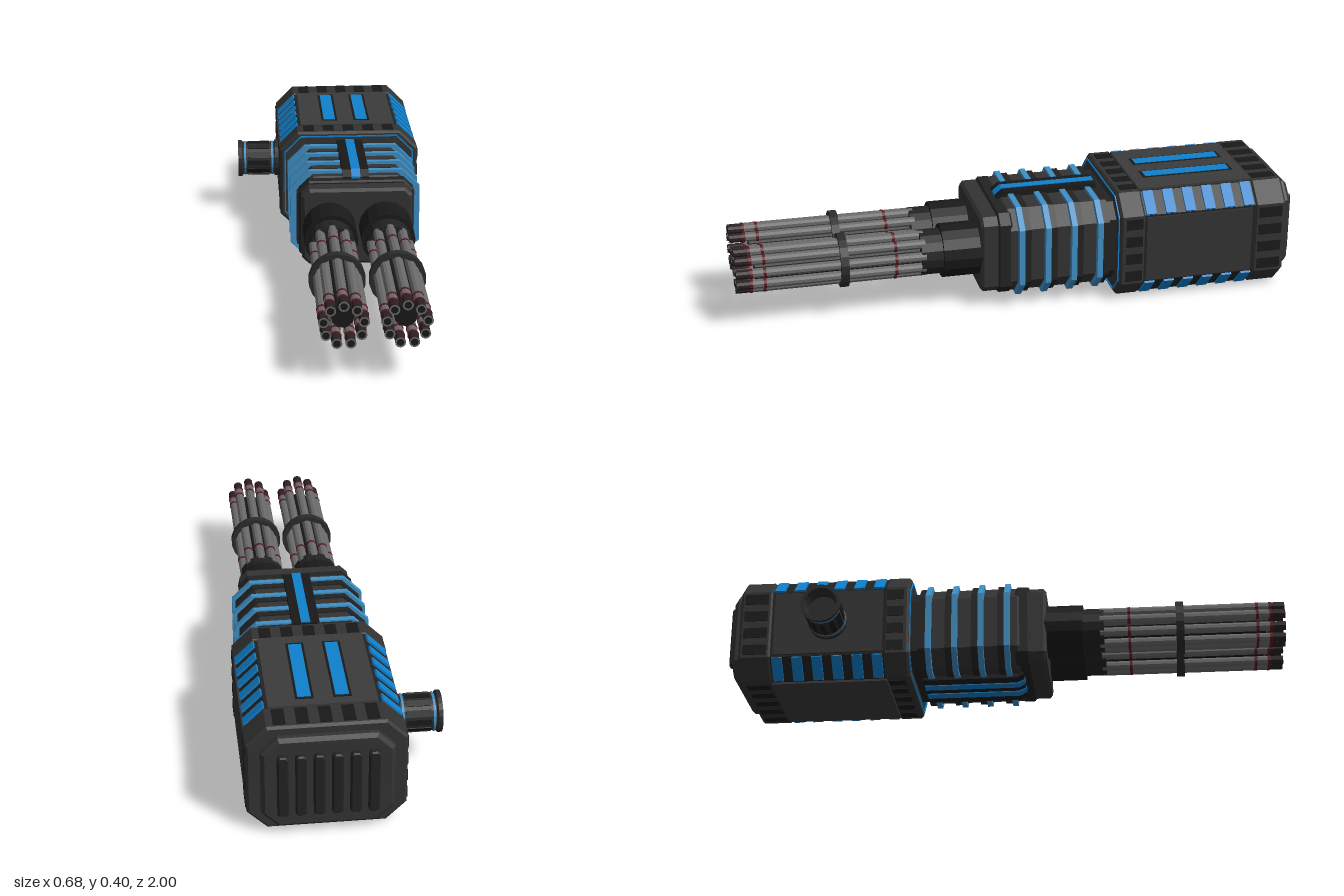
import * as THREE from 'three';

const CX = 0.078, CY = 0.2; // axis of the body

const mat = (color, side = THREE.FrontSide) => new THREE.MeshStandardMaterial({ color, side, flatShading: true });
const M = {
  body: mat(0x333333), panel: mat(0x3b3b3b), dark: mat(0x222222), black: mat(0x191919),
  blue: mat(0x1080cc), rib: mat(0x3f8fc4), steel: mat(0x6a6a6a), red: mat(0x5a1820),
  tip: mat(0x2a2022), cup: mat(0x2b2b2b, THREE.DoubleSide),
};

function add(parent, name, geo, material, x = 0, y = 0, z = 0) {
  const m = new THREE.Mesh(geo, material);
  m.name = name;
  m.position.set(x, y, z);
  parent.add(m);
  return m;
}

// Rectangle with cut corners, half sizes w and h
function octagon(w, h, c, P = THREE.Shape) {
  const p = [[w, h - c], [w - c, h], [c - w, h], [-w, h - c], [-w, c - h], [c - w, -h], [w - c, -h], [w, c - h]];
  return new P(p.map(([x, y]) => new THREE.Vector2(x, y)));
}

// Cut-corner block from z0 to z1, with optional bevelled ends
function block(parent, name, material, z0, z1, w, h, c, bevel = 0) {
  const geo = new THREE.ExtrudeGeometry(octagon(w, h, c), {
    depth: z1 - z0 - 2 * bevel, bevelEnabled: bevel > 0, bevelSegments: 1,
    bevelSize: bevel, bevelThickness: bevel, bevelOffset: -bevel,
  });
  return add(parent, name, geo, material, CX, CY, z0 + bevel);
}

// Cut-corner hoop of width t
function hoop(parent, name, material, z0, z1, w, h, c, t) {
  const s = octagon(w, h, c);
  s.holes.push(octagon(w - t, h - t, c - t * 0.59, THREE.Path));
  return add(parent, name, new THREE.ExtrudeGeometry(s, { depth: z1 - z0, bevelEnabled: false }), material, CX, CY, z0);
}

// Box given by its limits
function box(parent, name, material, x0, x1, y0, y1, z0, z1) {
  return add(parent, name, new THREE.BoxGeometry(x1 - x0, y1 - y0, z1 - z0), material,
    (x0 + x1) / 2, (y0 + y1) / 2, (z0 + z1) / 2);
}

// Cylinder along z
function rod(parent, name, material, r, z0, z1, x, y, sides, r2 = r) {
  const g = new THREE.CylinderGeometry(r2, r, z1 - z0, sides).rotateX(Math.PI / 2);
  return add(parent, name, g, material, x, y, (z0 + z1) / 2);
}

// Turned part along z from [radius, z] points
function turned(parent, name, material, pts, sides, x, y) {
  const g = new THREE.LatheGeometry(pts.map(p => new THREE.Vector2(...p)), sides).rotateX(Math.PI / 2);
  return add(parent, name, g, material, x, y, 0);
}

function rearBody() {
  const g = new THREE.Group();
  g.name = 'rearBody';
  block(g, 'rearCore', M.dark, -0.9, -0.36, 0.253, 0.192, 0.065);
  block(g, 'frontFrame', M.body, -0.425, -0.335, 0.26, 0.196, 0.067, 0.008);
  block(g, 'rearFrame', M.body, -0.945, -0.83, 0.26, 0.196, 0.067, 0.008);
  block(g, 'endCap', M.body, -0.98, -0.94, 0.215, 0.17, 0.055, 0.012);
  hoop(g, 'frontLightRing', M.blue, -0.336, -0.331, 0.244, 0.182, 0.062, 0.005);

  // Raised panels on the four faces
  box(g, 'topPanel', M.panel, -0.1, 0.256, 0.38, 0.4, -0.835, -0.42);
  box(g, 'bottomPanel', M.panel, -0.1, 0.256, 0, 0.02, -0.835, -0.42);
  for (const s of [-1, 1]) {
    const x = CX + s * 0.25;
    box(g, 'sidePanel', M.body, x - 0.011, x + 0.011, 0.08, 0.32, -0.82, -0.43);
  }
  // Top light strips in dark trays
  for (const x of [0.012, 0.135]) {
    box(g, 'stripTray', M.black, x - 0.03, x + 0.03, 0.39, 0.401, -0.8, -0.465);
    box(g, 'topLightStrip', M.blue, x - 0.022, x + 0.022, 0.39, 0.403, -0.79, -0.475);
  }
  // Dark inset squares around both frames
  for (const [z0, z1] of [[-0.415, -0.355], [-0.93, -0.845]]) {
    for (let i = 0; i < 5; i++) {
      const x = CX + (i - 2) * 0.075;
      for (const y of [0.004, 0.396]) box(g, 'frameInset', M.black, x - 0.02, x + 0.02, y - 0.003, y + 0.003, z0, z1);
    }
    for (let i = 0; i < 4; i++) {
      const y = CY + (i - 1.5) * 0.066;
      for (const s of [-1, 1]) {
        const x = CX + s * 0.26;
        box(g, 'frameInset', M.black, x - 0.003, x + 0.003, y - 0.019, y + 0.019, z0, z1);
      }
    }
  }
  // Lights along the cut corners
  for (const sx of [-1, 1]) for (const sy of [-1, 1]) for (let i = 0; i < 6; i++) {
    const m = add(g, 'cornerLight', new THREE.BoxGeometry(0.09, 0.012, 0.037), M.blue,
      CX + sx * 0.2215, CY + sy * 0.1605, -0.447 - i * 0.072);
    m.rotation.z = Math.atan2(-sx, sy);
  }
  // Upright vent bars on the back
  for (let i = 0; i < 6; i++) {
    const x = CX + (i - 2.5) * 0.0585;
    const s = octagon(0.018, 0.115, 0.008);
    add(g, 'ventBar', new THREE.ExtrudeGeometry(s, {
      depth: 0.02, bevelSize: 0.005, bevelThickness: 0.005, bevelOffset: -0.005, bevelSegments: 1,
    }), M.dark, x, CY, -0.995);
  }
  return g;
}

function midBody() {
  const g = new THREE.Group();
  g.name = 'midBody';
  block(g, 'neck', M.dark, -0.345, -0.29, 0.2, 0.148, 0.05);
  block(g, 'midCore', M.body, -0.305, 0.06, 0.212, 0.157, 0.06, 0.012);
  block(g, 'headCollar', M.dark, 0.04, 0.09, 0.205, 0.152, 0.035, 0.006);
  block(g, 'headPlate', M.body, 0.08, 0.15, 0.197, 0.142, 0.026, 0.01);

  // Glowing ribs with a dark backing hoop
  for (let i = 0; i < 4; i++) {
    const z = 0.012 - i * 0.094;
    hoop(g, 'lightRib', M.rib, z - 0.01, z + 0.01, 0.234, 0.168, 0.064, 0.026);
    hoop(g, 'ribBacking', M.dark, z - 0.035, z - 0.01, 0.222, 0.162, 0.062, 0.015);
  }
  // Spine covers: side profile with a sloped nose, one on top, two lights below
  const spine = (name, m, x0, x1, y0, y1, flip, nose) => {
    const s = new THREE.Shape([[-0.3, y0], [nose, y0], [nose, y0 + 0.012], [nose - 0.025, y1], [-0.3, y1]]
      .map(p => new THREE.Vector2(...p)));
    const geo = new THREE.ExtrudeGeometry(s, { depth: x1 - x0, bevelEnabled: false })
      .translate(0, 0, -(x1 - x0) / 2).rotateY(-Math.PI / 2);
    if (flip) geo.rotateZ(Math.PI);
    add(g, name, geo, m, (x0 + x1) / 2, CY, 0);
  };
  spine('topSpine', M.black, 0.03, 0.125, 0.145, 0.177, false, 0.062);
  spine('topSpineLight', M.blue, 0.062, 0.094, 0.147, 0.18, false, 0.064);
  spine('bottomSpine', M.black, -0.025, 0.18, 0.148, 0.173, true, 0.062);
  for (const x of [0.04, 0.115]) spine('bottomSpineLight', M.blue, x - 0.02, x + 0.02, 0.149, 0.176, true, 0.064);
  return g;
}

// Rotary cluster of nine barrels
function barrelCluster(x, y) {
  const g = new THREE.Group();
  g.name = 'barrelCluster';
  g.position.set(x, y, 0);
  rod(g, 'housing', M.black, 0.095, 0.13, 0.28, 0, 0, 16);
  rod(g, 'hub', M.dark, 0.08, 0.28, 0.355, 0, 0, 16);
  rod(g, 'core', M.black, 0.038, 0.35, 0.93, 0, 0, 12);
  turned(g, 'clampRing', M.black, [[0.078, 0.612], [0.095, 0.612], [0.095, 0.64], [0.078, 0.64], [0.078, 0.612]]
    .reverse(), 18, 0, 0).material = M.cup;
  for (let i = 0; i < 9; i++) {
    const a = Math.PI / 2 + i * Math.PI * 2 / 9;
    const bx = 0.065 * Math.cos(a), by = 0.065 * Math.sin(a);
    rod(g, 'barrel', M.steel, 0.017, 0.34, 0.95, bx, by, 10);
    for (const z of [0.445, 0.9, 0.947]) rod(g, 'barrelBand', M.red, 0.0185, z - 0.005, z + 0.005, bx, by, 10);
    rod(g, 'muzzle', M.tip, 0.0165, 0.95, 0.998, bx, by, 10);
    add(g, 'muzzleRim', new THREE.RingGeometry(0.012, 0.0175, 12), M.steel, bx, by, 1);
    add(g, 'bore', new THREE.CircleGeometry(0.012, 12), M.black, bx, by, 0.9995);
  }
  return g;
}

// Side mount, built along z and turned to face -x
function sideMount() {
  const g = new THREE.Group();
  g.name = 'sideMount';
  turned(g, 'mountCup', M.cup, [[0, 0.1], [0.05, 0.1], [0.058, 0.155], [0.071, 0.155], [0.071, 0.141],
    [0.064, 0.135], [0.064, 0.014], [0.07, 0.012], [0.07, -0.01]], 20, 0, 0);
  for (const z of [0.022, 0.128]) rod(g, 'mountLightRing', M.rib, 0.0665, z - 0.004, z + 0.004, 0, 0, 20).geometry =
    new THREE.CylinderGeometry(0.0665, 0.0665, 0.008, 20, 1, true).rotateX(Math.PI / 2);
  for (let i = 0; i < 12; i++) {
    const a = i * Math.PI / 6;
    const m = add(g, 'mountGrip', new THREE.BoxGeometry(0.006, 0.02, 0.084), M.black,
      0.063 * Math.cos(a), 0.063 * Math.sin(a), 0.075);
    m.rotation.z = a;
  }
  g.rotation.y = -Math.PI / 2;
  g.position.set(-0.185, CY, -0.625);
  return g;
}

export function createModel() {
  const model = new THREE.Group();
  model.name = 'twinRotaryCannon';
  model.add(rearBody(), midBody(), sideMount());
  for (const s of [-1, 1]) model.add(barrelCluster(CX + s * 0.1, CY));
  return model;
}
